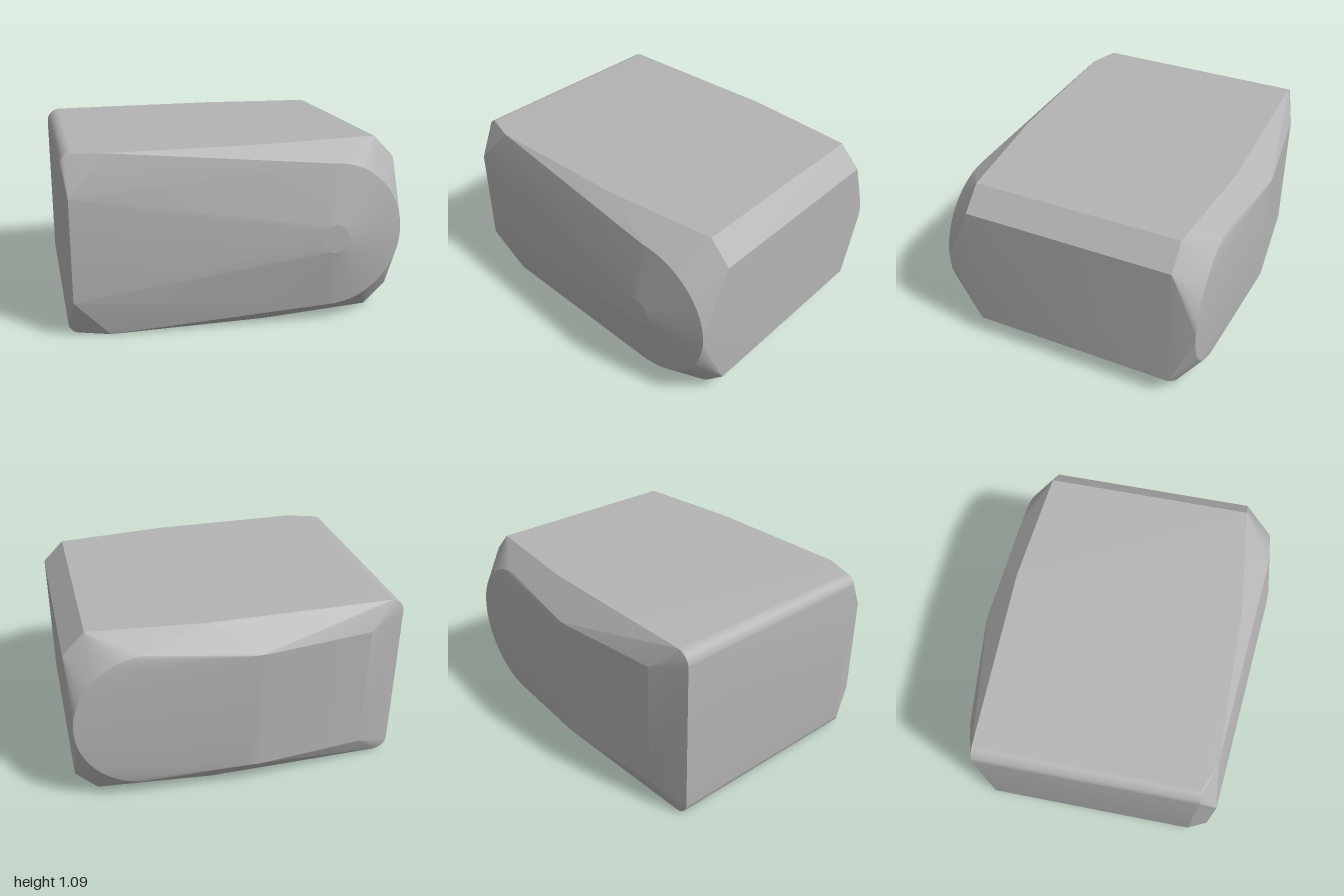
import * as THREE from 'three';
import { ConvexGeometry } from 'three/addons/geometries/ConvexGeometry.js';
import { toCreasedNormals } from 'three/addons/utils/BufferGeometryUtils.js';

const MID = 0.547; // height of the horizontal symmetry plane

export function createModel() {
  const grey = new THREE.MeshStandardMaterial({ color: 0xb4b4b4 });
  grey.name = 'grey';

  const points = [];
  const add = (x, y, z) => points.push(new THREE.Vector3(x, y, z));
  // Adds a point and its mirror below the symmetry plane
  const pair = (x, h, z) => { add(x, MID + h, z); add(x, MID - h, z); };
  // Adds an arc in a plane of constant z
  const arc = (cx, cy, r, z, from, to, n) => {
    for (let i = 0; i <= n; i++) {
      const a = from + (to - from) * i / n;
      add(cx + r * Math.cos(a), cy + r * Math.sin(a), z);
    }
  };

  // Top and bottom outlines
  for (const [x, z] of [[0.87, 0.615], [0.18, 0.68], [-0.76, 0.68], [0.87, -0.65], [0.17, -0.72]]) {
    pair(x, MID, z);
  }
  // Chamfered right end
  pair(1, 0.415, 0.62);
  pair(1, 0.415, -0.65);
  // Rounded left end
  for (const z of [0.615, -0.72]) {
    const cx = z > 0 ? -0.93 : -0.915;
    const r = 1 + cx;
    arc(cx, 2 * MID - r, r, z, Math.PI / 2, Math.PI, 8);
    arc(cx, r, r, z, Math.PI, Math.PI * 1.5, 8);
  }
  // Edge along x = -1 at the back
  pair(-0.999, 0.46, -0.68);

  // Front bulge: half-round rim, small flat tip and straight left edge
  arc(0.55, MID, 0.44, 0.802, -Math.PI / 2, Math.PI / 2, 40);
  arc(0.55, MID, 0.085, 0.868, 0, Math.PI * 2 * 31 / 32, 31);
  pair(-0.97, 0.31, 0.725);

  // Back bulge: half-round rim, blunt vertical ridge and bevelled left edge
  arc(0.55, MID, 0.44, -0.8, -Math.PI / 2, Math.PI / 2, 40);
  for (const [x, z] of [[-0.13, -0.868], [-0.08, -0.871], [-0.03, -0.868]]) pair(x, 0.385, z);
  pair(-0.77, 0.395, -0.8);

  const geometry = toCreasedNormals(new ConvexGeometry(points), 0.16);
  const body = new THREE.Mesh(geometry, grey);
  body.name = 'bevelledBody';

  const model = new THREE.Group();
  model.name = 'bevelledBlock';
  model.add(body);
  return model;
}
